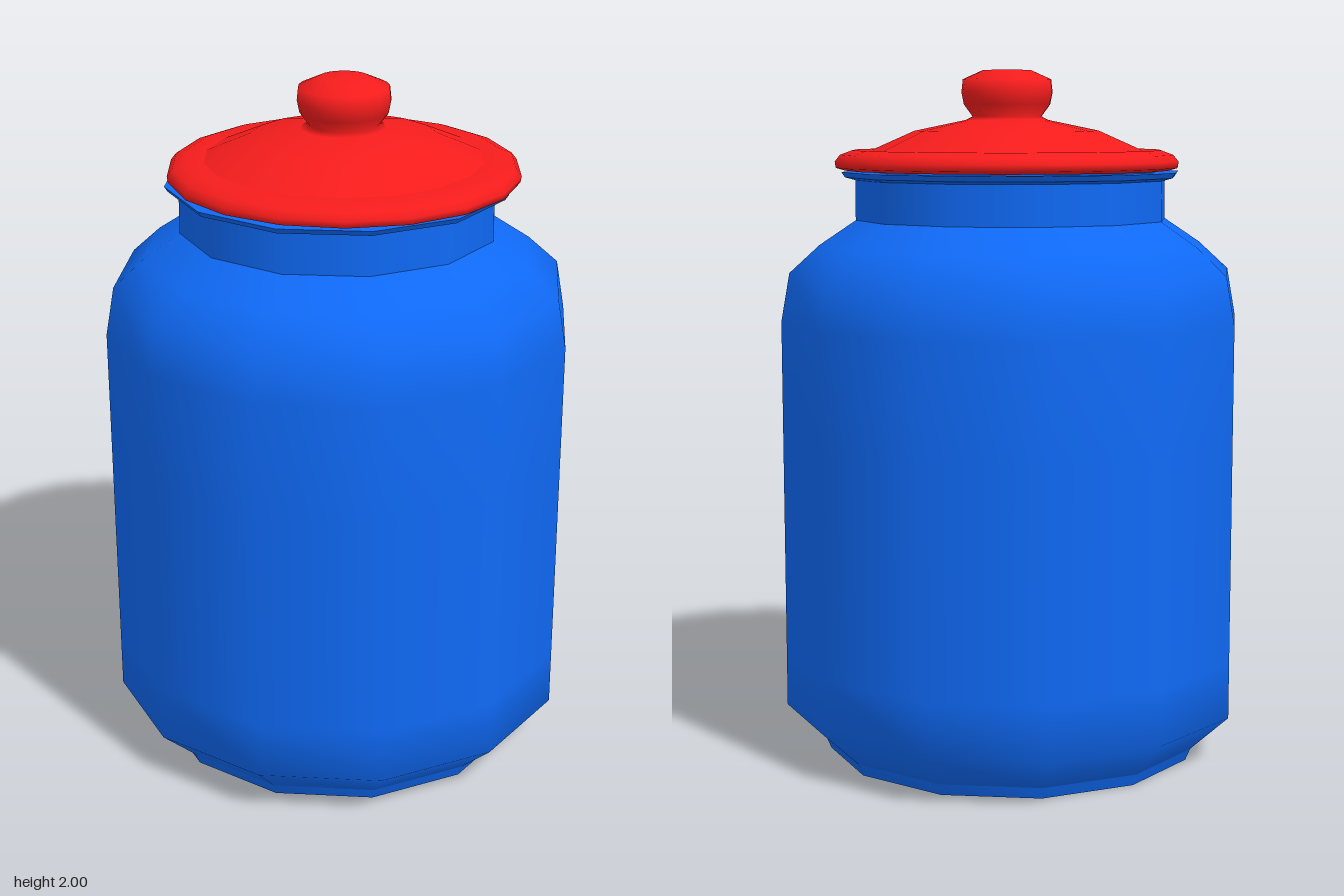
import * as THREE from 'three';
import { toCreasedNormals } from 'three/addons/utils/BufferGeometryUtils.js';

const rad = THREE.MathUtils.degToRad;

// Revolve a [radius, height] profile, listed from the bottom up.
function turned(name, profile, sides, startDeg, material, crease) {
  const points = profile.map(([r, y]) => new THREE.Vector2(r, y));
  let geometry = new THREE.LatheGeometry(points, sides, rad(startDeg), Math.PI * 2);
  if (crease) geometry = toCreasedNormals(geometry, rad(crease));
  const mesh = new THREE.Mesh(geometry, material);
  mesh.name = name;
  return mesh;
}

export function createModel() {
  const model = new THREE.Group();
  model.name = 'lidded jar';
  const blue = new THREE.MeshStandardMaterial({ color: 0x0f69f5, side: THREE.DoubleSide });
  const red = new THREE.MeshStandardMaterial({ color: 0xf51c1c, side: THREE.DoubleSide });

  // Body: twelve-sided, with rounded shoulder
  const profile = [
    [0.56, 0.035], [0.673, 0.14], [0.673, 0.3], [0.673, 0.95], [0.673, 1.28],
    [0.648, 1.42], [0.56, 1.5], [0.455, 1.57],
  ];
  const body = turned('body', profile, 12, 5, blue);
  // Slight dent down one edge of the wall
  const pos = body.geometry.attributes.position;
  for (let row = 1; row <= 3; row++) {
    const i = 9 * profile.length + row;
    pos.setX(i, pos.getX(i) * 0.975);
  }

  // Foot ring with a shallow recessed underside
  const foot = turned('foot', [
    [0, 0.02], [0.455, 0.02], [0.475, 0], [0.545, 0], [0.56, 0.035],
  ], 12, 5, blue, 30);

  // Neck and flared rim
  const neck = turned('neck', [[0.455, 1.57], [0.455, 1.685]], 12, 5, blue);
  const rim = turned('rim', [
    [0.455, 1.685], [0.485, 1.693], [0.495, 1.708], [0.43, 1.708], [0.43, 1.57],
  ], 12, 5, blue, 35);

  // Lid: shallow dome with a rolled edge and a round knob
  const lid = new THREE.Group();
  lid.name = 'lid';
  lid.position.set(0.01, 0, -0.01);
  lid.add(
    turned('lidUnderside', [[0, 1.712], [0.47, 1.712]], 18, 15, red),
    turned('lidEdge', [
      [0.47, 1.712], [0.497, 1.72], [0.5, 1.738], [0.485, 1.757], [0.45, 1.77], [0.395, 1.77],
    ], 18, 15, red),
    turned('lidDome', [
      [0.395, 1.77], [0.27, 1.825], [0.12, 1.856], [0, 1.864],
    ], 18, 15, red),
    turned('knob', [
      [0.12, 1.856], [0.1, 1.866], [0.125, 1.9], [0.132, 1.935],
      [0.128, 1.972], [0.07, 1.998], [0, 2],
    ], 24, 0, red),
  );

  model.add(body, foot, neck, rim, lid);
  return model;
}
